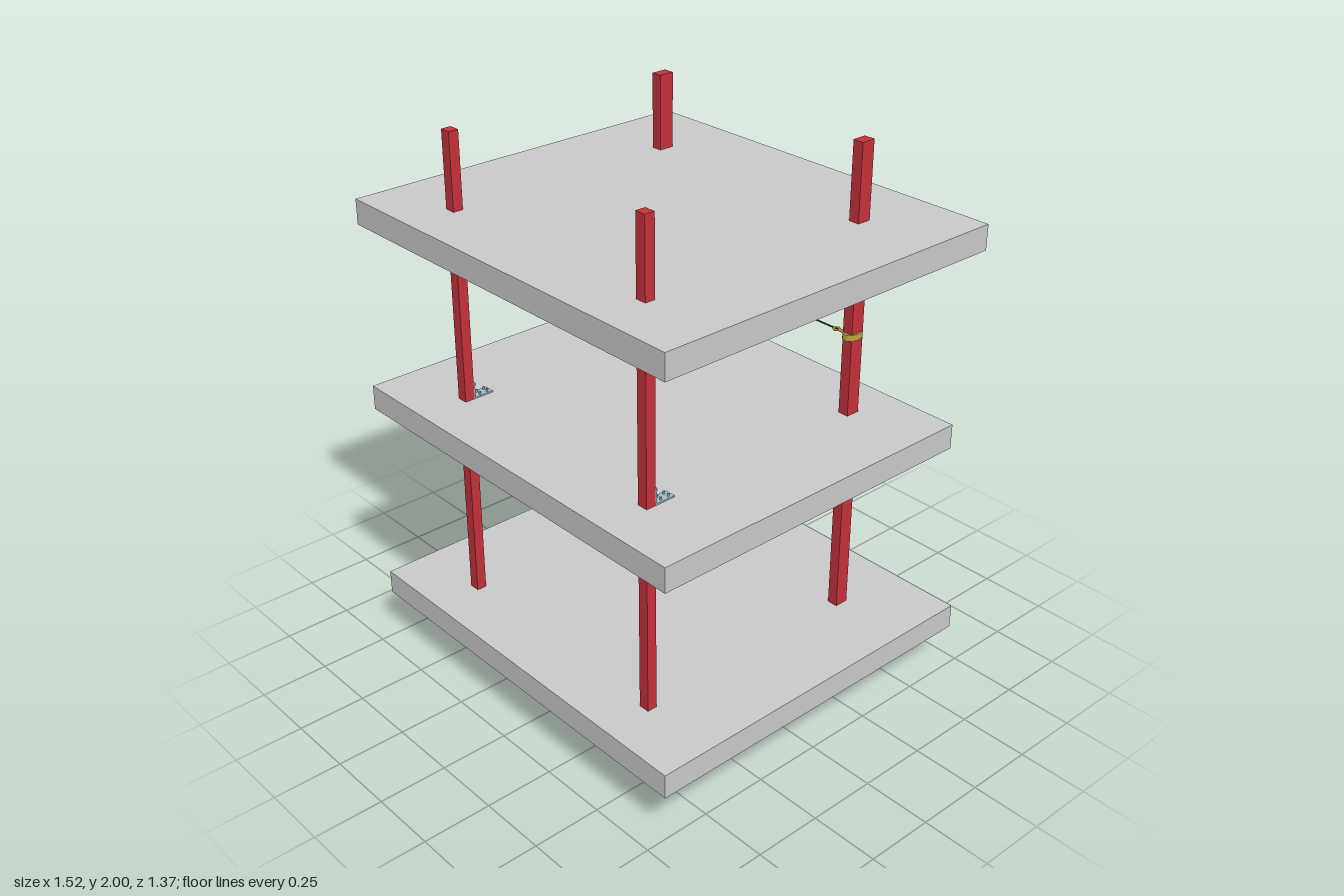
import * as THREE from 'three';

const grey = new THREE.MeshStandardMaterial({ color: 0xcccccc });
const red = new THREE.MeshStandardMaterial({ color: 0xc8323c });
const brass = new THREE.MeshStandardMaterial({ color: 0xb8a83c });
const steel = new THREE.MeshStandardMaterial({ color: 0x9fc0c8 });
const dark = new THREE.MeshStandardMaterial({ color: 0x333333 });

function add(parent, name, geometry, material, x = 0, y = 0, z = 0) {
  const mesh = new THREE.Mesh(geometry, material);
  mesh.name = name;
  mesh.position.set(x, y, z);
  parent.add(mesh);
  return mesh;
}

// Box given by its lower and upper corners
function box(parent, name, material, [x0, y0, z0], [x1, y1, z1]) {
  return add(parent, name, new THREE.BoxGeometry(x1 - x0, y1 - y0, z1 - z0), material,
    (x0 + x1) / 2, (y0 + y1) / 2, (z0 + z1) / 2);
}

// Small L-shaped bracket with bolt heads, behind a front post
function bracket(x, y) {
  const g = new THREE.Group();
  g.name = 'cornerBracket';
  g.position.set(x, y, 0.479);
  box(g, 'uprightPlate', steel, [-0.02, 0, -0.005], [0.02, 0.062, 0]);
  box(g, 'basePlate', steel, [-0.02, 0, -0.078], [0.02, 0.005, 0]);
  for (const bx of [-0.01, 0.01]) {
    for (const d of [0.03, 0.06]) {
      add(g, 'baseBolt', new THREE.CylinderGeometry(0.004, 0.004, 0.012, 8), steel, bx, 0.009, -d);
    }
    for (const h of [0.025, 0.048]) {
      add(g, 'uprightBolt', new THREE.CylinderGeometry(0.004, 0.004, 0.012, 8), steel, bx, h, -0.008)
        .rotation.x = Math.PI / 2;
    }
  }
  return g;
}

// Band around a back post with an eye pointing inwards
function clamp(side) {
  const g = new THREE.Group();
  g.name = 'postClamp';
  g.position.set(side * 0.467, 1.33, -0.403);
  const band = new THREE.Shape();
  band.absellipse(0, 0, 0.028, 0.039, 0, Math.PI * 2);
  const hole = new THREE.Path();
  hole.moveTo(-0.019, -0.027).lineTo(-0.019, 0.027).lineTo(0.019, 0.027).lineTo(0.019, -0.027).closePath();
  band.holes.push(hole);
  const geo = new THREE.ExtrudeGeometry(band, { depth: 0.022, bevelEnabled: false, curveSegments: 12 });
  geo.rotateX(-Math.PI / 2).translate(0, -0.011, 0);
  add(g, 'band', geo, brass);
  const eye = add(g, 'eye', new THREE.TorusGeometry(0.01, 0.004, 8, 16), brass, -side * 0.07, -0.005, 0);
  eye.rotation.x = Math.PI / 2;
  add(g, 'shank', new THREE.CylinderGeometry(0.005, 0.005, 0.036, 8), brass, -side * 0.044, -0.005, 0)
    .rotation.z = Math.PI / 2;
  return g;
}

export function createModel() {
  const model = new THREE.Group();

  // Shelves, the middle one shallower at the back
  for (const [y, back] of [[0.18, -0.685], [0.95, -0.595], [1.64, -0.685]]) {
    box(model, 'shelf', grey, [-0.76, y, back], [0.76, y + 0.09, 0.685]);
  }

  // Side frames: posts, flared foot rail and brackets
  for (const side of [-1, 1]) {
    const x = side * 0.467, w = 0.02;
    const frame = new THREE.Group();
    frame.name = side > 0 ? 'leftFrame' : 'rightFrame';
    box(frame, 'frontPost', red, [x - w, 0.05, 0.479], [x + w, 2, 0.516]);
    box(frame, 'backPost', red, [x - w, 0.05, -0.43], [x + w, 2, side > 0 ? -0.378 : -0.372]);

    const profile = new THREE.Shape();
    profile.moveTo(-0.537, 0).lineTo(0.436, 0).lineTo(0.43, 0.055).lineTo(-0.516, 0.055).closePath();
    const rail = new THREE.ExtrudeGeometry(profile, { depth: 2 * w, bevelEnabled: false });
    rail.translate(0, 0, -w).rotateY(Math.PI / 2);
    add(frame, 'footRail', rail, red, x, 0, 0);

    frame.add(bracket(x, 0.055), bracket(x, 1.04), clamp(side));
    model.add(frame);
  }

  // Cord between the back posts, with a ball and a loose hanging end
  const cord = add(model, 'cord', new THREE.CylinderGeometry(0.003, 0.003, 0.8, 8), dark, 0, 1.325, -0.403);
  cord.rotation.z = Math.PI / 2;
  add(model, 'cordBall', new THREE.SphereGeometry(0.02, 20, 14), brass, -0.315, 1.327, -0.403);
  const tail = new THREE.CatmullRomCurve3([
    [-0.318, 1.325, -0.4], [-0.334, 1.3, -0.38], [-0.332, 1.22, -0.373],
    [-0.322, 1.12, -0.395], [-0.31, 1.075, -0.43], [-0.292, 1.06, -0.48],
  ].map((p) => new THREE.Vector3(...p)));
  add(model, 'cordTail', new THREE.TubeGeometry(tail, 40, 0.003, 6), dark);

  return model;
}
